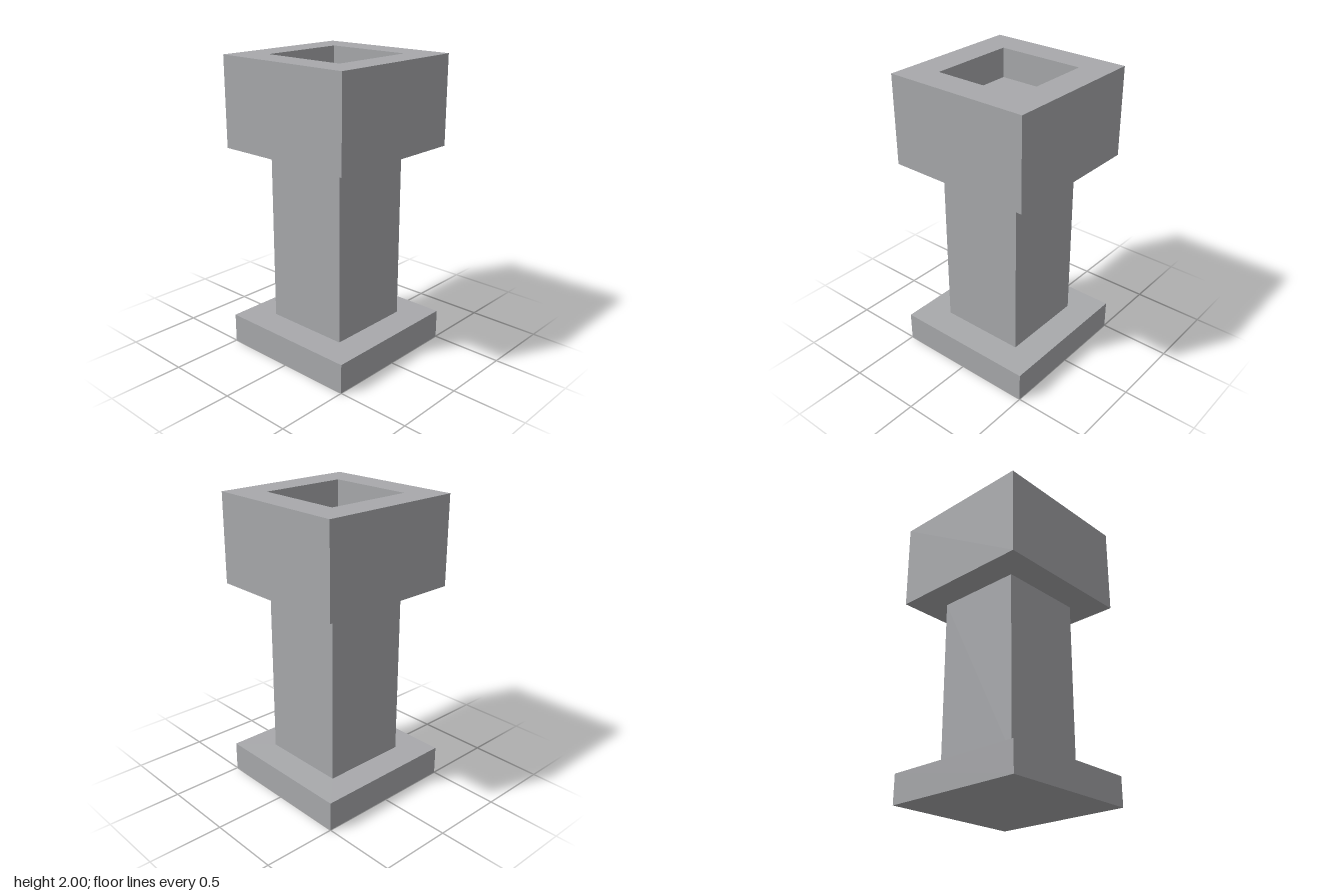
import * as THREE from 'three';

const stone = new THREE.MeshStandardMaterial({ color: 0xa8a9ac });
stone.name = 'grey stone';

// Square part: a four-sided lathe of [half width, height] points, listed from bottom to top
function squarePart(name, profile) {
  const points = profile.map(([half, y]) => new THREE.Vector2(half * Math.SQRT2, y));
  const geometry = new THREE.LatheGeometry(points, 4, Math.PI / 4).toNonIndexed();
  geometry.computeVertexNormals();
  const mesh = new THREE.Mesh(geometry, stone);
  mesh.name = name;
  return mesh;
}

export function createModel() {
  const model = new THREE.Group();
  model.name = 'pedestal';
  model.add(
    // Low plinth, open on top where the shaft stands
    squarePart('base', [[0, 0], [0.5, 0], [0.5, 0.2], [0.3, 0.2]]),
    // Column between base and head
    squarePart('shaft', [[0.3, 0.2], [0.3, 1.4]]),
    // Wide head with a shallow square basin sunk in the top
    squarePart('head', [[0.3, 1.4], [0.5, 1.4], [0.5, 2], [0.3, 2], [0.3, 1.8], [0, 1.8]]),
  );
  return model;
}
